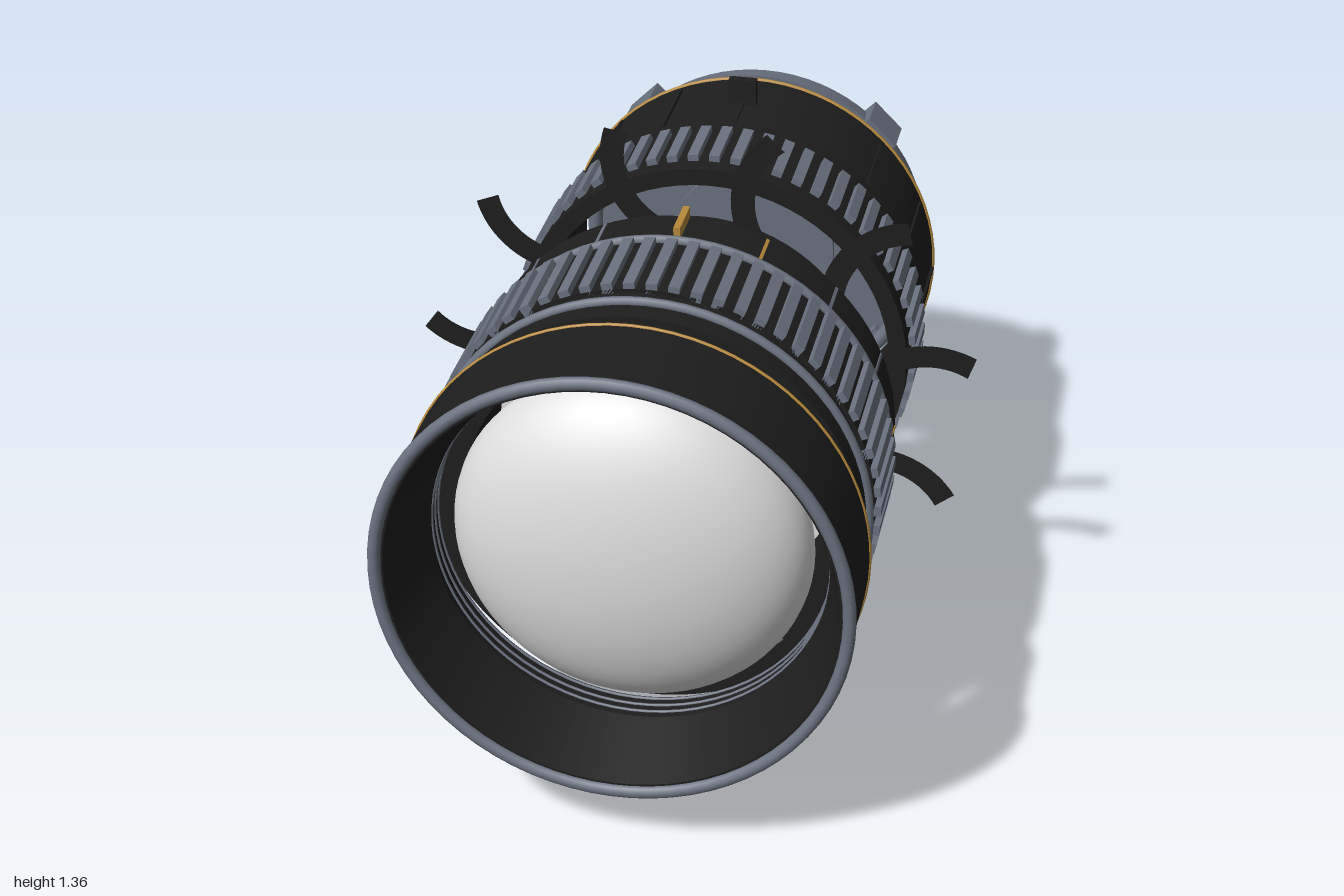
import * as THREE from 'three';
import { toCreasedNormals } from 'three/addons/utils/BufferGeometryUtils.js';

const mat = (name, color, side = THREE.FrontSide) => {
  const m = new THREE.MeshStandardMaterial({ color, side });
  m.name = name;
  return m;
};

export function createModel() {
  const black = mat('matte black', 0x1e1e1e);
  const blackSheet = mat('black sheet', 0x1e1e1e, THREE.DoubleSide);
  const steel = mat('blue grey metal', 0x6b7280);
  const gold = mat('gold', 0xb8893a);
  const glass = mat('pale glass', 0xdedede);

  // The lens axis runs along z; everything hangs on this group
  const root = new THREE.Group();
  root.name = 'explodedLens';
  root.position.y = 0.693;

  const section = (name) => {
    const g = new THREE.Group();
    g.name = name;
    root.add(g);
    return g;
  };
  const add = (parent, name, geometry, material) => {
    const m = new THREE.Mesh(geometry, material);
    m.name = name;
    parent.add(m);
    return m;
  };
  // Profile of [radius, z] pairs turned around the z axis
  const turned = (pts, crease = 0.6) => {
    const g = new THREE.LatheGeometry(pts.map(([r, z]) => new THREE.Vector2(r, z)), 72);
    g.rotateX(Math.PI / 2);
    return toCreasedNormals(g, crease);
  };
  const tube = (parent, name, rIn, rOut, z0, z1, material) =>
    add(parent, name, turned([[rOut, z0], [rOut, z1], [rIn, z1], [rIn, z0], [rOut, z0]]), material);
  const bead = (parent, name, r, thick, z, material) => {
    const m = add(parent, name, new THREE.TorusGeometry(r, thick, 10, 72), material);
    m.position.z = z;
  };
  // Boxes set evenly around the axis; size is [tangential, radial, along z]
  const around = (parent, name, count, size, r, z, pick, start = 0) => {
    const g = new THREE.BoxGeometry(...size);
    for (let i = 0; i < count; i++) {
      const a = start + (i / count) * Math.PI * 2;
      const m = add(parent, name, g, pick(i));
      m.position.set(Math.sin(a) * r, Math.cos(a) * r, z);
      m.rotation.z = -a;
    }
  };
  // Half-ellipsoid glass; dir is 1 for bulging forwards, -1 for backwards
  const dome = (parent, name, r, depth, z, dir) => {
    const pts = [];
    for (let i = 0; i <= 16; i++) {
      const a = (i / 16) * (Math.PI / 2);
      pts.push([Math.max(0, r * Math.cos(a)), z + dir * depth * Math.sin(a)]);
    }
    if (dir < 0) pts.reverse();
    add(parent, name, turned(pts), glass);
  };

  // Front hood, narrowing inside towards its threaded back, with the large glass
  const hood = section('hood');
  add(hood, 'hoodShell', turned([
    [0.535, 0.722], [0.535, 0.985], [0.51, 0.985], [0.457, 0.8], [0.457, 0.722], [0.535, 0.722],
  ], 0.25), black);
  bead(hood, 'hoodRim', 0.53, 0.015, 0.985, steel);
  bead(hood, 'hoodGoldLine', 0.534, 0.005, 0.737, gold);
  for (const z of [0.73, 0.755, 0.78]) bead(hood, 'hoodThread', 0.457, 0.004, z, steel);
  dome(hood, 'frontGlass', 0.413, 0.2, 0.735, 1);

  // Focus barrel, with an inward lip at the rear
  const focus = section('focusBarrel');
  tube(focus, 'focusSleeve', 0.415, 0.505, 0.15, 0.645, black);
  tube(focus, 'rearLip', 0.325, 0.42, 0.15, 0.18, black);
  bead(focus, 'focusFrontBead', 0.508, 0.012, 0.58, steel);
  bead(focus, 'focusRearBead', 0.508, 0.012, 0.28, steel);
  tube(focus, 'focusGrip', 0.5, 0.515, 0.31, 0.535, black);
  around(focus, 'focusRib', 64, [0.026, 0.026, 0.225], 0.517, 0.4225, () => steel);
  around(focus, 'distanceTick', 16, [0.008, 0.008, 0.1], 0.503, 0.205,
    (i) => (i === 1 || i % 4 === 0 ? gold : steel));
  around(focus, 'indexBlock', 1, [0.016, 0.03, 0.112], 0.518, 0.208, () => gold);
  around(focus, 'lensClip', 4, [0.035, 0.035, 0.02], 0.43, 0.637, () => steel, Math.PI / 4);
  dome(focus, 'rearFacingGlass', 0.413, 0.3, 0.345, -1);
  add(focus, 'glassFace', new THREE.CircleGeometry(0.413, 72), glass).position.z = 0.345;

  // Middle ring
  const middle = section('middleRing');
  tube(middle, 'middleSleeve', 0.36, 0.41, -0.04, 0.09, black);
  bead(middle, 'middleBead', 0.403, 0.01, 0.082, steel);

  // Curved aperture blades, fanned around the axis through the middle ring
  const iris = section('aperture');
  const blade = new THREE.Shape();
  blade.absarc(-0.16, -0.56, 0.232, -0.6, 1.3, false);
  blade.absarc(-0.16, -0.56, 0.174, 1.3, -0.64, true);
  const bladeGeometry = new THREE.ShapeGeometry(blade, 12);
  for (let i = 0; i < 11; i++) {
    const m = add(iris, 'apertureBlade', bladeGeometry, blackSheet);
    m.rotation.z = (i / 11) * Math.PI * 2;
    m.position.z = 0.025;
  }

  // Zoom barrel
  const zoom = section('zoomBarrel');
  tube(zoom, 'zoomSleeve', 0.45, 0.493, -0.405, -0.125, black);
  tube(zoom, 'rearSleeve', 0.45, 0.482, -0.685, -0.405, black);
  around(zoom, 'zoomRib', 60, [0.026, 0.024, 0.17], 0.497, -0.255, () => steel);
  bead(zoom, 'zoomBead', 0.482, 0.01, -0.405, steel);
  around(zoom, 'sleeveBar', 16, [0.012, 0.014, 0.23], 0.481, -0.54, () => black);
  around(zoom, 'lockPin', 1, [0.07, 0.08, 0.022], 0.508, -0.54, () => black);
  bead(zoom, 'zoomGoldLine', 0.481, 0.006, -0.684, gold);

  // Small rear glass in its metal holder
  const rear = section('rearElement');
  add(rear, 'rearGlassHolder', turned([[0, -0.702], [0.218, -0.702], [0.218, -0.685], [0, -0.685]]), steel);
  dome(rear, 'rearGlass', 0.2, 0.08, -0.7, -1);

  // Rear mount with bayonet tabs and an open tail tube
  const mount = section('mount');
  bead(mount, 'mountBead', 0.437, 0.02, -0.733, steel);
  add(mount, 'mountPlate', turned([[0, -0.85], [0.435, -0.85], [0.447, -0.785], [0, -0.785]]), steel);
  around(mount, 'bayonetTab', 4, [0.1, 0.055, 0.11], 0.437, -0.812, () => steel, Math.PI / 4);
  tube(mount, 'tailTube', 0.243, 0.253, -1, -0.845, steel);

  return root;
}
